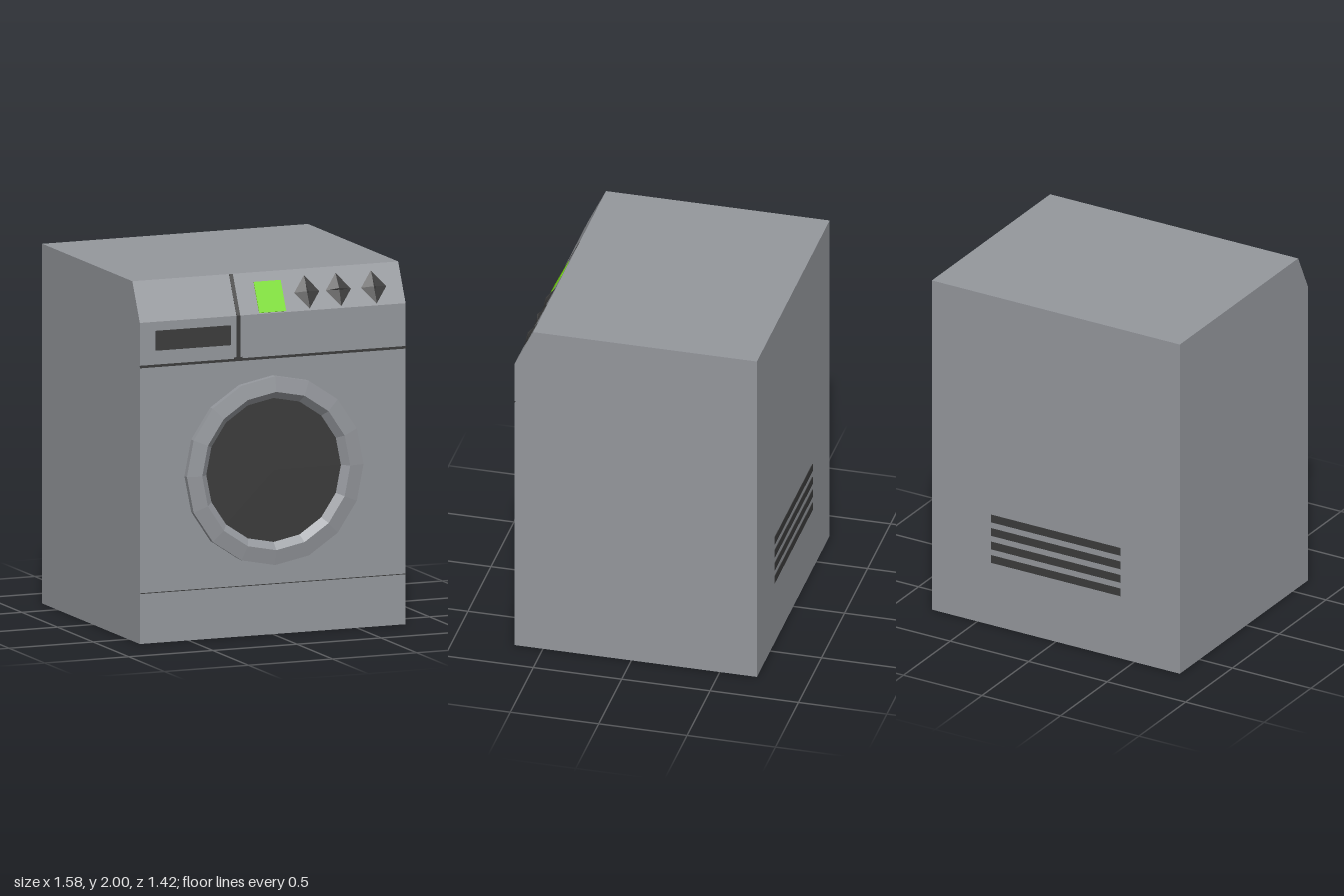
import * as THREE from 'three';

const W = 0.79, BACK = -0.71, FRONT = 0.66;

export function createModel() {
  const root = new THREE.Group();
  const mat = (name, color, opts = {}) => {
    const m = new THREE.MeshStandardMaterial({ color, ...opts });
    m.name = name;
    return m;
  };
  const grey = mat('casing grey', 0x94979c, { flatShading: true, side: THREE.DoubleSide });
  const dark = mat('dark trim', 0x3b3b3b, { flatShading: true });
  const green = mat('display green', 0x77dd11);

  const add = (name, geo, material, parent = root) => {
    const m = new THREE.Mesh(geo, material);
    m.name = name;
    parent.add(m);
    return m;
  };
  // Thin plate centred at x, y, z
  const plate = (name, w, h, x, y, z, material, parent) => {
    const m = add(name, new THREE.BoxGeometry(w, h, 0.006), material, parent);
    m.position.set(x, y, z);
    return m;
  };

  // Casing: hollow, open underneath, profile as [z, y] from front foot to back foot
  const profile = [[FRONT, 0], [FRONT, 1.785], [0.555, 2], [BACK, 2], [BACK, 0]];
  const names = ['frontPanel', 'controlPanel', 'topPanel', 'backPanel'];
  names.forEach((name, i) => {
    const [z0, y0] = profile[i], [z1, y1] = profile[i + 1];
    const g = new THREE.BufferGeometry();
    g.setAttribute('position', new THREE.Float32BufferAttribute(
      [-W, y0, z0, W, y0, z0, W, y1, z1, -W, y1, z1], 3));
    g.setIndex([0, 1, 2, 0, 2, 3]);
    g.computeVertexNormals();
    add(name, g, grey);
  });
  const sideShape = new THREE.Shape(profile.map(([z, y]) => new THREE.Vector2(z, y)));
  for (const s of [-1, 1]) {
    const g = new THREE.ShapeGeometry(sideShape);
    if (s > 0) g.scale(-1, 1, 1).rotateY(Math.PI / 2);
    else g.rotateY(-Math.PI / 2);
    g.translate(s * W, 0, 0);
    // Mirroring one side reverses its corners
    if (s > 0) g.setIndex(Array.from(g.index.array).reverse());
    g.computeVertexNormals();
    add(s > 0 ? 'leftPanel' : 'rightPanel', g, grey);
  }

  // Door ring, glass and the drum behind it; lathe points are [radius, z]
  const door = new THREE.Group();
  door.name = 'door';
  door.position.y = 0.915;
  root.add(door);
  const turned = (name, pts, material) => add(name,
    new THREE.LatheGeometry(pts.map(p => new THREE.Vector2(...p)), 16).rotateX(Math.PI / 2),
    material, door);
  turned('doorRing', [[0.525, FRONT], [0.525, 0.695], [0.44, 0.71], [0.4, 0.672]], grey);
  turned('doorGlass', [[0.405, 0.672], [0, 0.676]], dark);
  turned('drum', [[0, 0.25], [0.24, 0.28], [0.36, 0.33], [0.525, 0.4], [0.525, FRONT - 0.002]], grey);

  // Front trim: dispenser drawer, seams
  plate('dispenserDrawer', 0.445, 0.11, -0.473, 1.68, FRONT + 0.002, dark);
  plate('upperSeam', 2 * W, 0.014, 0, 1.54, FRONT - 0.001, dark);
  plate('lowerSeam', 2 * W, 0.004, 0, 0.28, FRONT - 0.001, dark);
  plate('dividerSeam', 0.022, 0.245, -0.205, 1.663, FRONT, dark);
  plate('dividerFoot', 0.05, 0.014, -0.205, 1.548, FRONT, dark);

  // Sloped control panel details, laid out in the panel's own plane
  const controls = new THREE.Group();
  controls.name = 'controls';
  controls.position.set(0, 1.8925, 0.6075);
  controls.rotation.x = -Math.atan2(0.105, 0.215);
  root.add(controls);
  plate('dividerSeamUpper', 0.022, 0.238, -0.205, 0, -0.001, dark, controls);
  plate('display', 0.16, 0.178, 0, -0.025, 0.001, green, controls);
  [0.222, 0.41, 0.62].forEach((x, i) => {
    const knob = new THREE.Group();
    knob.name = 'knob';
    knob.position.set(x, -0.014, 0);
    controls.add(knob);
    const base = new THREE.ConeGeometry(1, 0.014, 4).rotateX(Math.PI / 2);
    base.scale(0.075, 0.095, 1).translate(0, 0, 0.007);
    add('knobBase', base, dark, knob);
    const grip = new THREE.OctahedronGeometry(1);
    if (i === 1) grip.scale(0.07, 0.015, 0.02);
    else grip.scale(0.013, 0.08, 0.02);
    add('knobGrip', grip, dark, knob);
  });

  // Back vents
  for (let i = 0; i < 4; i++) {
    plate('vent', 0.825, 0.046, 0, 0.402 + i * 0.082, BACK, dark);
  }
  return root;
}
